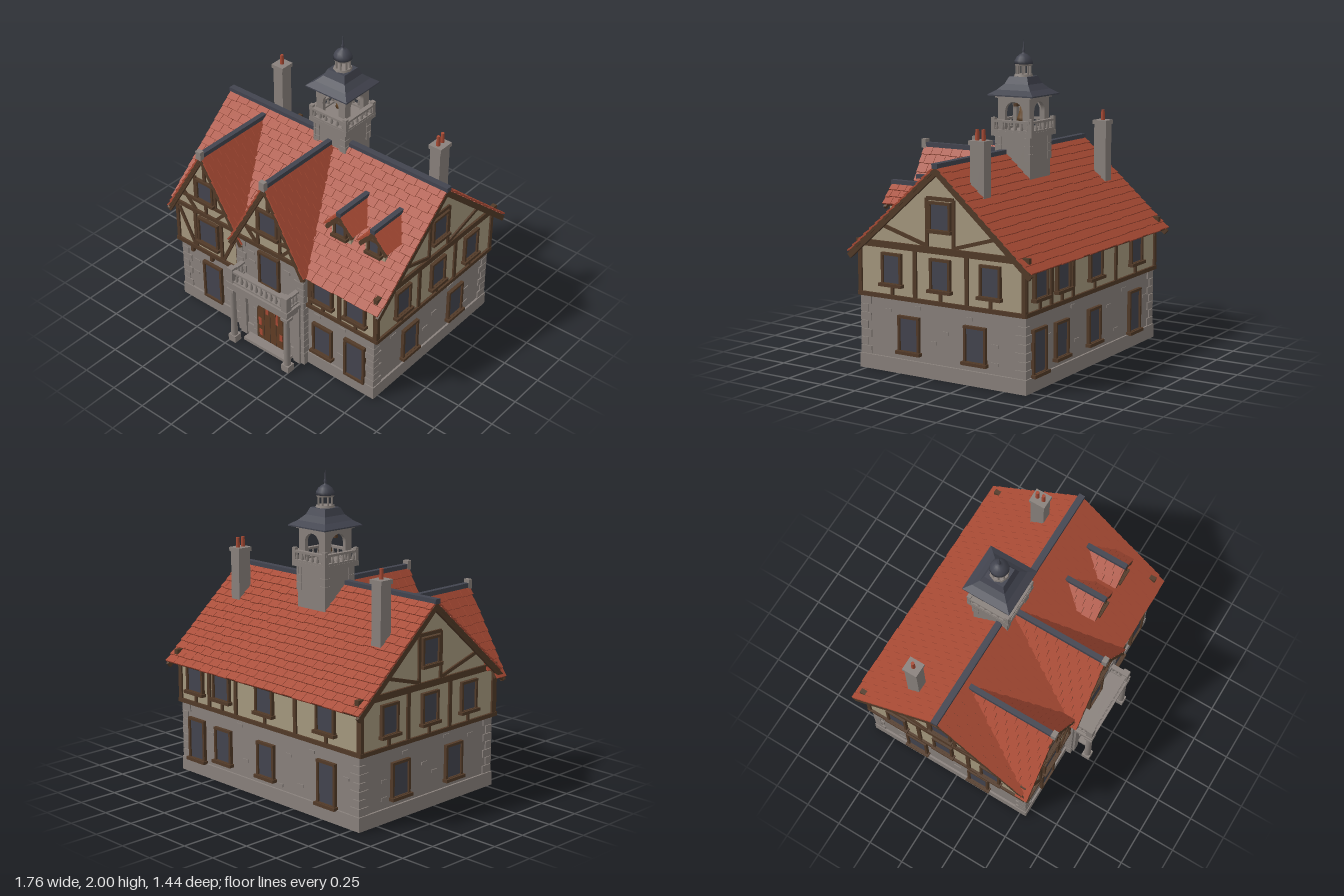
import * as THREE from 'three';
import { mergeGeometries } from 'three/addons/utils/BufferGeometryUtils.js';

const paint = (name, color) => Object.assign(new THREE.MeshStandardMaterial({ color }), { name });
const stone = paint('grey stone', 0x89817c), plaster = paint('tan plaster', 0xa5987e), timber = paint('dark timber', 0x523a28),
  tile = paint('red tile', 0xa84a34), slate = paint('blue slate', 0x42444f), glass = paint('window glass', 0x43444f),
  doorWood = paint('door wood', 0x613c24), bronze = paint('bell bronze', 0x684a2c);

let seed = 7;
const rand = () => (seed = (seed * 16807) % 2147483647) / 2147483647;

function add(parent, name, geo, mat, x = 0, y = 0, z = 0) {
  const m = new THREE.Mesh(geo, mat);
  m.name = name;
  m.position.set(x, y, z);
  parent.add(m);
  return m;
}
function group(parent, name, x = 0, y = 0, z = 0, ry = 0) {
  const g = new THREE.Group();
  g.name = name;
  g.position.set(x, y, z);
  g.rotation.y = ry;
  parent.add(g);
  return g;
}
// box given by its lower and upper corners
function span(p, name, mat, x0, x1, y0, y1, z0, z1) {
  return add(p, name, new THREE.BoxGeometry(x1 - x0, y1 - y0, z1 - z0), mat, (x0 + x1) / 2, (y0 + y1) / 2, (z0 + z1) / 2);
}
// timber between two points of a wall plane
function beam(p, x1, y1, x2, y2, w = 0.024, d = 0.024, z = 0, name = 'beam', mat = timber) {
  const m = add(p, name, new THREE.BoxGeometry(Math.hypot(x2 - x1, y2 - y1), w, d), mat, (x1 + x2) / 2, (y1 + y2) / 2, z);
  m.rotation.z = Math.atan2(y2 - y1, x2 - x1);
  return m;
}
const poly = pts => new THREE.Shape(pts.map(p => new THREE.Vector2(...p)));
const extrude = (shape, depth) => new THREE.ExtrudeGeometry(shape, { depth, bevelEnabled: false, curveSegments: 14 });
const flat = g => { g = g.toNonIndexed(); g.computeVertexNormals(); return g; };
const lathe = (pts, n) => new THREE.LatheGeometry(pts.map(p => new THREE.Vector2(...p)), n);

function windowUnit(p, cx, y0, y1, w, sill) {
  const g = group(p, 'window', cx, 0, 0), h = w / 2, t = 0.016;
  span(g, 'pane', glass, -h, h, y0, y1, 0.003, 0.01);
  for (const s of [-1, 1]) span(g, 'frameSide', timber, s * h - t / 2, s * h + t / 2, y0, y1, 0, 0.022);
  for (const y of [y0, y1]) span(g, 'frameRail', timber, -h - t / 2, h + t / 2, y - t / 2, y + t / 2, 0, 0.023);
  if (sill) span(g, 'sill', timber, -h - 0.018, h + 0.018, y0 - 0.014, y0 + 0.006, 0, 0.036);
}
// alternating corner stones along a vertical edge, dir points into the wall
function quoins(p, x, dir, y0, y1, z) {
  const n = Math.round((y1 - y0) / 0.052), h = (y1 - y0) / n;
  for (let i = 0; i < n; i++) {
    const w = i % 2 ? 0.045 : 0.07, a = x - dir * 0.008, b = x + dir * w;
    span(p, 'quoin', stone, Math.min(a, b), Math.max(a, b), y0 + i * h + 0.002, y0 + (i + 1) * h - 0.002, z - 0.01, z + 0.008);
  }
}
function looseStones(p, list) {
  for (const [x, y] of list) span(p, 'raisedStone', stone, x - 0.026, x + 0.026, y - 0.01, y + 0.01, 0, 0.005);
}
// one tiled slope hung from a ridge point; extent(row top distance) gives the row's ends
function tiledSlope(p, name, pos, facing, pitch, length, rows, tileW, extent) {
  const g = group(p, name, ...pos);
  g.rotation.set(-(Math.PI / 2 - pitch), facing, 0, 'YXZ');
  const tiles = [], deck = [], h = length / rows;
  for (let r = 0; r < rows; r++) {
    const [a, b] = extent(r * h, r);
    deck.push(new THREE.BoxGeometry(b - a, h, 0.016).translate((a + b) / 2, -(r + 0.5) * h, -0.01));
    for (let x = a - (r % 2) * tileW / 2; x < b - 0.004; x += tileW) {
      const x0 = Math.max(a, x + 0.0015), x1 = Math.min(b, x + tileW - 0.0015), len = h * 1.2 + rand() * 0.008;
      if (x1 - x0 < 0.006) continue;
      tiles.push(new THREE.BoxGeometry(x1 - x0, len, 0.01).translate(0, -len / 2, 0).rotateX(-0.13)
        .translate((x0 + x1) / 2, -r * h + h * 0.12, 0));
    }
  }
  add(g, 'tiles', mergeGeometries(tiles), tile);
  add(g, 'roofBoards', mergeGeometries(deck), timber);
}
const RIDGE_Z = -0.065, RIDGE_Y = 1.295, SLOPE = 0.872;
// cross gable dying into the main front slope
function crossRoof(p, name, cx, apexY, halfW, slope, zf, rows, tileW) {
  const g = group(p, name), pitch = Math.atan(slope), zBack = y => RIDGE_Z + (RIDGE_Y - y) / SLOPE - 0.03;
  for (const s of [-1, 1])
    tiledSlope(g, 'gableSlope', [cx, apexY, 0], s * Math.PI / 2, pitch, halfW / Math.cos(pitch), rows, tileW, d => {
      const zb = Math.min(zf - 0.02, zBack(apexY - d * Math.sin(pitch)));
      return s > 0 ? [-zf, -zb] : [zb, zf];
    });
  span(g, 'ridgeCap', slate, cx - 0.017, cx + 0.017, apexY - 0.012, apexY + 0.018, zBack(apexY), zf + 0.004);
  return g;
}
function bargeboards(p, cx, apexY, halfW, slope, z, w) {
  for (const s of [-1, 1]) beam(p, cx, apexY - 0.03, cx + s * halfW, apexY - 0.03 - halfW * slope, w, 0.02, z, 'bargeboard');
}
function balustrade(p, x0, x1, y0, y1, z, n) {
  const g = group(p, 'balustrade', 0, 0, z), h = y1 - y0;
  span(g, 'bottomRail', stone, x0, x1, y0, y0 + 0.012, -0.012, 0.012);
  span(g, 'topRail', stone, x0, x1, y1 - 0.014, y1, -0.015, 0.015);
  const geo = lathe([[0.005, 0], [0.011, h * 0.3], [0.005, h * 0.6], [0.008, h]], 8);
  for (let i = 0; i < n; i++) add(g, 'baluster', geo, stone, x0 + (x1 - x0) * (i + 0.5) / n, y0, 0);
}
function archShape(r, y0, ySpring) {
  const s = new THREE.Shape();
  s.moveTo(-r, y0).lineTo(r, y0).lineTo(r, ySpring).absarc(0, ySpring, r, 0, Math.PI, false).lineTo(-r, y0);
  return s;
}

export function createModel() {
  const root = new THREE.Group();
  root.name = 'townHall';
  const house = group(root, 'house');

  // stone ground floor and plastered upper storey with end gables
  span(house, 'plinth', stone, -0.81, 0.81, 0, 0.09, -0.65, 0.545);
  span(house, 'groundFloor', stone, -0.797, 0.797, 0.09, 0.47, -0.637, 0.532);
  const upper = add(house, 'upperStorey', extrude(poly([[-0.53, 0.46], [0.645, 0.46], [0.645, 0.75], [0.065, 1.26], [-0.53, 0.745]]), 1.63), plaster, -0.815);
  upper.rotation.y = Math.PI / 2;

  // end walls
  for (const s of [-1, 1]) {
    const low = group(house, 'endWallLower', s * 0.797, 0, 0, s * Math.PI / 2), U = z => -s * z;
    for (const z of [0.178, -0.298]) windowUnit(low, U(z), 0.14, 0.355, 0.14, true);
    quoins(low, U(0.532), s, 0.09, 0.455, 0);
    quoins(low, U(-0.637), -s, 0.09, 0.455, 0);
    looseStones(low, [[U(0.12), 0.42], [U(-0.08), 0.29], [U(0.01), 0.22], [U(-0.43), 0.26], [U(-0.43), 0.15], [U(-0.25), 0.4], [U(0.34), 0.38]]);
    const up = group(house, 'endWallUpper', s * 0.815, 0, 0, s * Math.PI / 2);
    for (const z of [0.288, -0.065, -0.415]) {
      windowUnit(up, U(z), 0.55, 0.735, 0.13, true);
      beam(up, U(z), 0.47, U(z), 0.535, 0.02);
    }
    windowUnit(up, U(-0.065), 0.91, 1.075, 0.14, true);
    beam(up, U(0.54), 0.472, U(-0.655), 0.472, 0.026, 0.03);
    beam(up, U(0.55), 0.79, U(-0.68), 0.79, 0.04, 0.03);
    for (const z of [0.527, 0.12, -0.25, -0.642]) beam(up, U(z), 0.47, U(z), 0.78, 0.026);
    for (const d of [-1, 1]) {
      beam(up, U(-0.065 + d * 0.095), 0.8, U(-0.065 + d * 0.095), 1.1, 0.02);
      beam(up, U(-0.065 + d * 0.1), 0.815, U(-0.065 + d * 0.43), 0.91, 0.022);
    }
    beam(up, U(0.03), 1.1, U(-0.16), 1.1, 0.022);
    bargeboards(up, U(RIDGE_Z), RIDGE_Y, 0.645, SLOPE, 0.043, 0.034);
  }

  // back wall, matching the four window bays of the front
  const bays = [-0.535, 0, 0.4, 0.657];
  const backLow = group(house, 'backWallLower', 0, 0, -0.637, Math.PI), backUp = group(house, 'backWallUpper', 0, 0, -0.645, Math.PI);
  bays.forEach((x, i) => {
    const tall = i === 0 || i === 3;
    windowUnit(backLow, -x, tall ? 0.1 : 0.14, tall ? 0.365 : 0.355, 0.14, true);
    windowUnit(backUp, -x, 0.55, 0.735, 0.145, true);
    beam(backUp, -x, 0.47, -x, 0.54, 0.02);
  });
  for (const x of [-0.808, -0.525, -0.27, 0.27, 0.808]) beam(backUp, x, 0.47, x, 0.78, 0.026);
  beam(backUp, -0.825, 0.472, 0.825, 0.472, 0.026, 0.03);
  beam(backUp, -0.825, 0.765, 0.825, 0.765, 0.03, 0.03);
  for (const s of [-1, 1]) quoins(backLow, s * 0.797, -s, 0.09, 0.455, 0);
  looseStones(backLow, [[-0.53, 0.3], [-0.25, 0.42], [-0.2, 0.2], [0.2, 0.33], [0.3, 0.16], [0.69, 0.3], [0.4, 0.4], [0.12, 0.12]]);

  // front wall, right-hand bays
  const frontLow = group(house, 'frontWallLower', 0, 0, 0.532), frontUp = group(house, 'frontWallUpper', 0, 0, 0.53);
  windowUnit(frontLow, -0.532, 0.09, 0.368, 0.145, false);
  windowUnit(frontLow, 0.4, 0.14, 0.355, 0.14, true);
  windowUnit(frontLow, 0.657, 0.09, 0.368, 0.145, false);
  for (const s of [-1, 1]) quoins(frontLow, s * 0.797, -s, 0.09, 0.455, 0);
  looseStones(frontLow, [[-0.68, 0.33], [-0.69, 0.23], [-0.39, 0.12], [0.55, 0.42], [-0.57, 0.425], [0.35, 0.42], [0.54, 0.2], [-0.36, 0.36]]);
  for (const x of [0.4, 0.657]) {
    windowUnit(frontUp, x, 0.55, 0.735, 0.145, true);
    beam(frontUp, x, 0.47, x, 0.54, 0.02);
  }
  for (const x of [0.295, 0.53, 0.808]) beam(frontUp, x, 0.47, x, 0.78, 0.026);
  beam(frontUp, 0.27, 0.472, 0.825, 0.472, 0.026, 0.03);
  beam(frontUp, 0.27, 0.755, 0.825, 0.755, 0.025, 0.03);

  // left jettied gable
  const LX = -0.55;
  add(house, 'leftGableWall', extrude(poly([[-0.815, 0.46], [-0.27, 0.46], [-0.27, 0.75], [LX, 1.21], [-0.815, 0.77]]), 0.55), plaster);
  const lg = group(house, 'leftGableFrame', 0, 0, 0.55);
  windowUnit(lg, -0.535, 0.55, 0.735, 0.16, true);
  windowUnit(lg, -0.547, 0.89, 1.035, 0.13, true);
  for (const y of [0.472, 0.775]) beam(lg, -0.825, y, -0.27, y, 0.028, 0.03);
  beam(lg, -0.75, 0.865, -0.35, 0.865, 0.022);
  for (const x of [-0.808, -0.65, -0.425, -0.285]) beam(lg, x, 0.47, x, 0.775, 0.024);
  beam(lg, -0.79, 0.74, -0.66, 0.49, 0.022);
  beam(lg, -0.29, 0.74, -0.41, 0.49, 0.022);
  beam(lg, LX, 0.78, LX, 0.87, 0.02);
  beam(lg, LX, 1.04, LX, 1.2, 0.022);
  for (const s of [-1, 1]) {
    beam(lg, LX + s * 0.2, 0.9, LX + s * 0.09, 0.785, 0.022);
    beam(lg, LX + s * 0.085, 0.87, LX + s * 0.085, 1.05, 0.02);
  }
  for (const x of [-0.7, -0.53, -0.36]) span(lg, 'bracket', timber, x - 0.011, x + 0.011, 0.41, 0.46, -0.02, 0.005);

  // central stone bay with timbered gable
  span(house, 'centralBay', stone, -0.27, 0.27, 0, 0.77, 0.4, 0.57);
  span(house, 'bayPlinth', stone, -0.28, 0.28, 0, 0.09, 0.4, 0.58);
  add(house, 'centralGableWall', extrude(poly([[-0.27, 0.765], [0.27, 0.765], [0, 1.25]]), 0.57), plaster);
  const cg = group(house, 'centralBayFront', 0, 0, 0.57);
  for (const s of [-1, 1]) {
    quoins(cg, s * 0.27, -s, 0.09, 0.765, 0);
    const side = group(house, 'baySide', s * 0.27, 0, 0, s * Math.PI / 2);
    quoins(side, -s * 0.57, s, 0.09, 0.455, 0);
    beam(cg, s * 0.2, 0.9, s * 0.1, 0.79, 0.022);
    beam(cg, s * 0.09, 0.79, s * 0.09, 1.08, 0.02);
  }
  beam(cg, -0.28, 0.78, 0.28, 0.78, 0.028, 0.03);
  beam(cg, -0.18, 0.885, 0.18, 0.885, 0.022);
  beam(cg, 0, 1.08, 0, 1.24, 0.022);
  windowUnit(cg, 0, 0.91, 1.07, 0.145, true);
  windowUnit(cg, 0, 0.495, 0.74, 0.155, false);
  looseStones(cg, [[-0.155, 0.69], [-0.15, 0.62], [0.14, 0.68]]);

  // arched door with planks and stone surround
  add(cg, 'doorFrame', extrude(archShape(0.115, 0.025, 0.236), 0.012), timber);
  add(cg, 'doorLeaf', extrude(archShape(0.103, 0.03, 0.236), 0.004), doorWood, 0, 0, 0.011);
  for (const [x, y, h] of [[-0.025, 0.28, 0.05], [0.055, 0.255, 0.09], [-0.085, 0.17, 0.06], [0.09, 0.12, 0.05], [-0.08, 0.08, 0.05]])
    span(cg, 'wornPlank', tile, x - 0.012, x + 0.012, y - h / 2, y + h / 2, 0.014, 0.017);
  for (const x of [-0.05, 0, 0.05]) span(cg, 'plankGap', timber, x - 0.002, x + 0.002, 0.03, 0.325, 0.014, 0.018);
  for (let i = 0; i <= 10; i++) {
    const a = Math.PI * i / 10;
    beam(cg, Math.cos(a) * 0.115, 0.236 + Math.sin(a) * 0.115, Math.cos(a) * 0.145, 0.236 + Math.sin(a) * 0.145, 0.036, 0.026, 0, 'voussoir', stone);
  }
  for (const s of [-1, 1]) for (let i = 0; i < 4; i++) span(cg, 'jambStone', stone, s * 0.13 - 0.015, s * 0.13 + 0.015, 0.026 + i * 0.05, 0.072 + i * 0.05, 0, 0.013);

  // porch with balcony
  const porch = group(root, 'porch');
  span(porch, 'step', stone, -0.18, 0.18, 0, 0.022, 0.55, 0.645);
  span(porch, 'balconySlab', stone, -0.255, 0.255, 0.465, 0.492, 0.55, 0.708);
  span(porch, 'frontLintel', stone, -0.245, 0.245, 0.43, 0.465, 0.66, 0.7);
  for (const s of [-1, 1]) {
    const c = group(porch, 'porchColumn', s * 0.226, 0, 0.681);
    span(c, 'base', stone, -0.029, 0.029, 0, 0.05, -0.029, 0.027);
    add(c, 'shaft', new THREE.CylinderGeometry(0.019, 0.023, 0.38, 12), stone, 0, 0.235, 0);
    span(c, 'capital', stone, -0.028, 0.028, 0.415, 0.435, -0.028, 0.026);
    span(c, 'balconyPier', stone, -0.022, 0.022, 0.49, 0.6, -0.022, 0.022);
    span(porch, 'pilaster', stone, s * 0.226 - 0.025, s * 0.226 + 0.025, 0, 0.465, 0.565, 0.592);
    span(porch, 'sideLintel', stone, s * 0.226 - 0.018, s * 0.226 + 0.018, 0.43, 0.465, 0.57, 0.67);
    const side = group(porch, 'balconySide', s * 0.226, 0, 0, s * Math.PI / 2);
    balustrade(side, s > 0 ? -0.66 : 0.575, s > 0 ? -0.575 : 0.66, 0.492, 0.585, 0, 3);
  }
  balustrade(porch, -0.205, 0.205, 0.492, 0.585, 0.681, 10);

  // main roof, cross gables and dormers
  const roof = group(root, 'roof'), pitch = Math.atan(SLOPE), len = 0.645 / Math.cos(pitch);
  tiledSlope(roof, 'backSlope', [0, RIDGE_Y, RIDGE_Z], Math.PI, pitch, len, 15, 0.085, () => [-0.87, 0.87]);
  tiledSlope(roof, 'frontSlope', [0, RIDGE_Y, RIDGE_Z], 0, pitch, len, 15, 0.085, (d, r) => [r > 13 ? 0.27 : -0.87, 0.87]);
  span(roof, 'mainRidgeCap', slate, -0.877, 0.877, 1.285, 1.315, RIDGE_Z - 0.021, RIDGE_Z + 0.021);
  for (const [name, x, y, hw, sl, zf] of [['leftGableRoof', LX, 1.25, 0.312, 1.69, 0.585], ['centralGableRoof', 0, 1.288, 0.3, 1.82, 0.615]]) {
    const g = crossRoof(roof, name, x, y, hw, sl, zf, 10, 0.075);
    bargeboards(g, x, y, hw, sl, zf - 0.012, 0.03);
    span(g, 'ridgeEndStone', stone, x - 0.021, x + 0.021, y - 0.02, y + 0.04, zf - 0.018, zf + 0.014);
  }
  for (const x of [0.4, 0.66]) {
    const d = crossRoof(roof, 'dormer', x, 1.142, 0.105, 1.1, 0.39, 3, 0.06);
    add(d, 'dormerWall', extrude(poly([[-0.075, 0.92], [0.075, 0.92], [0.075, 1.04], [0, 1.12], [-0.075, 1.04]]), 0.25), plaster, x, 0, 0.11);
    const f = group(d, 'dormerFront', x, 0, 0.36);
    windowUnit(f, 0, 0.975, 1.07, 0.085, true);
    bargeboards(f, 0, 1.142, 0.1, 1.1, 0.018, 0.022);
  }

  // chimneys with clay pots
  for (const [x, z, hd, pots] of [[-0.67, -0.33, 0.05, [0]], [0.667, -0.248, 0.055, [-0.022, 0.022]]]) {
    const c = group(root, 'chimney', x, 0, z);
    span(c, 'stack', stone, -0.038, 0.038, 0.95, 1.42, -hd + 0.007, hd - 0.007);
    span(c, 'cap', stone, -0.047, 0.047, 1.415, 1.442, -hd, hd);
    for (const p of pots) add(c, 'pot', new THREE.CylinderGeometry(0.011, 0.014, 0.07, 10), tile, 0, 1.472, p);
  }

  // bell tower
  const t = group(root, 'bellTower', 0, 0, -0.133);
  span(t, 'towerBase', stone, -0.122, 0.122, 0.95, 1.405, -0.122, 0.122);
  span(t, 'gallerySlab', stone, -0.147, 0.147, 1.4, 1.43, -0.147, 0.147);
  const arch = poly([[-0.115, 1.42], [0.115, 1.42], [0.115, 1.65], [-0.115, 1.65]]);
  arch.holes.push(archShape(0.063, 1.43, 1.55));
  const archGeo = extrude(arch, 0.025);
  for (let i = 0; i < 4; i++) {
    const s = group(t, 'towerSide', 0, 0, 0, i * Math.PI / 2);
    add(s, 'archedWall', archGeo, stone, 0, 0, 0.09);
    balustrade(s, -0.135, 0.135, 1.43, 1.5, 0.133, 6);
    span(s, 'cornerPost', stone, 0.12, 0.146, 1.43, 1.515, 0.12, 0.146);
    for (const q of [-1, 1]) for (let k = 0; k < 3; k++) span(s, 'baseQuoin', stone, q * 0.105 - 0.023, q * 0.105 + 0.023, 1.25 + k * 0.05, 1.296 + k * 0.05, 0.11, 0.127);
  }
  span(t, 'cornice', stone, -0.128, 0.128, 1.635, 1.655, -0.128, 0.128);
  const R = Math.SQRT2;
  const cap = flat(lathe([[0, 1.648], [0.162, 1.648], [0.162, 1.656], [0.12, 1.685], [0.085, 1.72], [0.065, 1.765], [0, 1.765]].map(([r, y]) => [r * R, y]), 4));
  add(t, 'flaredRoof', cap, slate).rotation.y = Math.PI / 4;
  add(t, 'bell', lathe([[0, 1.49], [0.044, 1.49], [0.038, 1.51], [0.028, 1.54], [0.024, 1.57], [0.012, 1.585], [0, 1.587]], 16), bronze);
  add(t, 'clapper', new THREE.SphereGeometry(0.01, 10, 8), bronze, 0, 1.486, 0);
  span(t, 'bellBeam', timber, -0.1, 0.1, 1.585, 1.603, -0.01, 0.01);

  // lantern on top
  add(t, 'lanternFloor', new THREE.CylinderGeometry(0.056, 0.062, 0.018, 8), stone, 0, 1.77, 0);
  for (let i = 0; i < 8; i++) {
    const a = (i + 0.5) * Math.PI / 4;
    add(t, 'lanternColumn', new THREE.CylinderGeometry(0.0065, 0.0065, 0.07, 8), stone, Math.sin(a) * 0.044, 1.81, Math.cos(a) * 0.044);
  }
  add(t, 'lanternRing', new THREE.CylinderGeometry(0.057, 0.054, 0.014, 16), stone, 0, 1.838, 0);
  add(t, 'dome', lathe([[0, 1.842], [0.06, 1.842], [0.056, 1.862], [0.043, 1.885], [0.024, 1.9], [0.009, 1.908], [0.007, 1.918], [0.011, 1.925], [0.006, 1.935], [0.004, 1.965], [0, 2]], 16), slate);
  return root;
}
